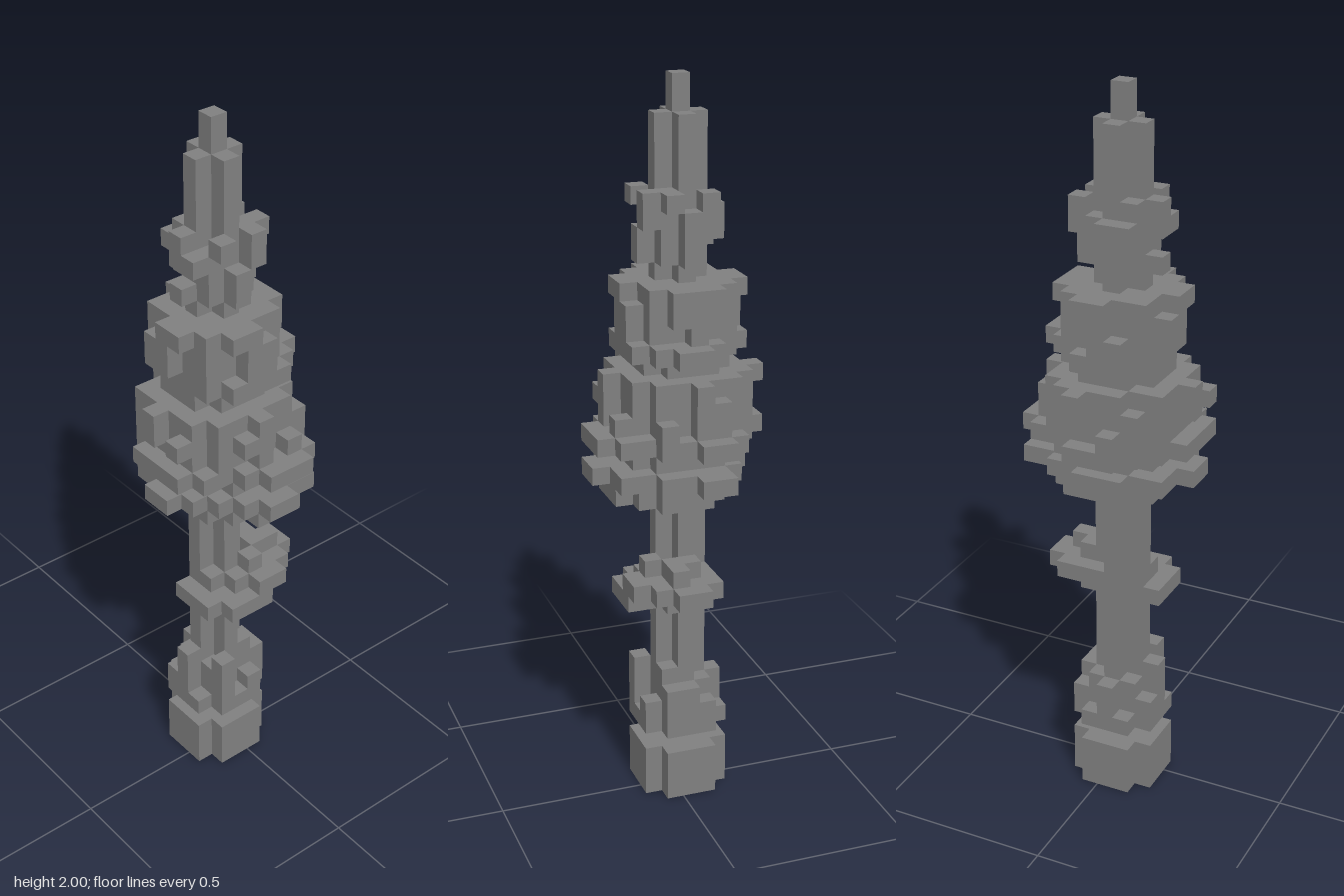
import * as THREE from 'three';

const U = 2 / 42; // edge of one cube; the model is 42 layers tall
const key = (x, y, z) => `${x},${y},${z}`;

// six cube faces: outward normal and its two in-plane axes (a x b = n)
const FACES = [
  [[1, 0, 0], [0, 1, 0], [0, 0, 1]], [[-1, 0, 0], [0, 0, 1], [0, 1, 0]],
  [[0, 1, 0], [0, 0, 1], [1, 0, 0]], [[0, -1, 0], [1, 0, 0], [0, 0, 1]],
  [[0, 0, 1], [1, 0, 0], [0, 1, 0]], [[0, 0, -1], [0, 1, 0], [1, 0, 0]],
];

export function createModel() {
  const group = new THREE.Group();
  const grey = new THREE.MeshStandardMaterial({ color: 0x808080 });
  grey.name = 'grey';
  const filled = new Set();
  const parts = [];
  let cells;

  const part = (name) => { cells = []; parts.push({ name, cells }); };
  const put = (x, y, z) => {
    if (filled.has(key(x, y, z))) return;
    filled.add(key(x, y, z));
    cells.push([x, y, z]);
  };
  // round layers y0..y1 whose cubes lie within squared radius r2
  const disc = (y0, y1, r2) => {
    for (let y = y0; y <= y1; y++)
      for (let x = -5; x <= 5; x++)
        for (let z = -5; z <= 5; z++) if (x * x + z * z <= r2) put(x, y, z);
  };
  // one irregular layer: a span of x for each row, starting at row z0
  const slab = (y, z0, spans) => spans.forEach(([a, b], i) => {
    for (let x = a; x <= b; x++) put(x, y, z0 + i);
  });
  // upright sprigs: x, z, first layer, last layer
  const sprigs = (list) => list.forEach(([x, z, a, b]) => {
    for (let y = a; y <= b; y++) put(x, y, z);
  });

  part('base');
  disc(0, 2, 5);

  part('trunk');
  disc(4, 39, 1);

  part('tip');
  disc(40, 41, 0);

  part('lowerTuft');
  disc(4, 4, 5);
  sprigs([
    [-2, 0, 5, 7], [-1, 2, 5, 7], [-1, 1, 5, 6], [1, 1, 5, 7], [1, 2, 5, 5], [2, 0, 5, 6],
    [2, -1, 5, 5], [0, -2, 5, 6], [-1, -1, 5, 6], [1, -1, 5, 6], [-2, -1, 5, 5], [2, 1, 5, 6],
  ]);

  part('branchPlate');
  slab(12, -1, [[0, 0], [-2, 2], [-2, 2], [-2, 1], [-1, 1]]);
  slab(13, -1, [[0, 3], [-1, 4], [-1, 4], [0, 3], [1, 2]]);
  sprigs([[2, 0, 14, 14], [2, 1, 14, 14], [3, 1, 14, 14], [1, 2, 14, 14]]);

  part('crownSkirt');
  slab(19, -2, [[-1, 2], [-2, 3], [-2, 4], [-2, 4], [-2, 4], [-1, 3], [0, 2]]);
  slab(20, -3, [[-1, 1], [-3, 3], [-3, 5], [-4, 5], [-4, 4], [-3, 4], [-2, 3], [-1, 3], [0, 1]]);
  slab(21, -2, [[-1, 2], [-2, 3], [-2, 3], [-2, 3], [-2, 3], [-1, 2]]);

  part('crownLower');
  slab(22, -4, [[-1, 1], [-2, 2], [-3, 4], [-4, 5], [-4, 5],
    [-4, 4], [-4, 4], [-3, 3], [-1, 3], [0, 2]]);
  disc(23, 25, 10);
  sprigs([
    [4, 0, 23, 25], [4, 2, 23, 23], [4, -1, 23, 24], [3, 2, 23, 25], [2, 3, 23, 25],
    [0, 4, 23, 25], [2, 4, 23, 23], [-1, 4, 24, 24], [-2, 3, 23, 25], [-3, 2, 23, 25],
    [-4, 0, 24, 25], [-4, 2, 24, 24], [-3, -2, 23, 25], [-2, -3, 23, 24], [-1, -4, 23, 23],
    [1, -4, 25, 25], [2, -3, 23, 25], [3, -2, 23, 25],
  ]);

  part('crownUpper');
  disc(26, 26, 5);
  slab(27, -3, [[-1, 1], [-2, 2], [-2, 3], [-2, 4], [-2, 4], [-2, 3], [-1, 2]]);
  disc(28, 29, 8);
  disc(30, 30, 8);
  sprigs([
    [3, 0, 28, 30], [3, 1, 29, 30], [3, -1, 30, 30], [0, 3, 28, 30], [1, 3, 28, 29],
    [-1, 3, 30, 30], [-3, 0, 28, 30], [-3, -1, 28, 29], [-3, 1, 30, 30],
    [0, -3, 28, 30], [1, -3, 30, 30], [-1, -3, 28, 28],
  ]);

  part('topTuft');
  disc(33, 34, 2);
  sprigs([
    [-2, 0, 32, 32], [-1, 1, 32, 32], [0, 2, 32, 33], [1, 1, 32, 35], [2, 0, 32, 34],
    [2, 1, 35, 35], [2, -1, 34, 35], [1, 2, 34, 35], [-1, 2, 35, 35], [-2, 0, 34, 35],
    [-2, 1, 34, 34], [0, -2, 33, 34], [-1, -2, 34, 34], [-1, -1, 35, 35],
  ]);

  // skin of each part: only cube faces without a neighbour
  for (const { name, cells: list } of parts) {
    const pos = [], nor = [], idx = [];
    for (const [x, y, z] of list) {
      for (const [n, a, b] of FACES) {
        if (filled.has(key(x + n[0], y + n[1], z + n[2]))) continue;
        const s = pos.length / 3;
        const centre = [x - 0.5, y + 0.5, z - 0.5];
        for (const [p, q] of [[-1, -1], [1, -1], [1, 1], [-1, 1]]) {
          pos.push(...centre.map((c, i) => U * (c + (n[i] + p * a[i] + q * b[i]) / 2)));
          nor.push(...n);
        }
        idx.push(s, s + 1, s + 2, s, s + 2, s + 3);
      }
    }
    const geo = new THREE.BufferGeometry();
    geo.setAttribute('position', new THREE.Float32BufferAttribute(pos, 3));
    geo.setAttribute('normal', new THREE.Float32BufferAttribute(nor, 3));
    geo.setIndex(idx);
    const mesh = new THREE.Mesh(geo, grey);
    mesh.name = name;
    group.add(mesh);
  }
  return group;
}
